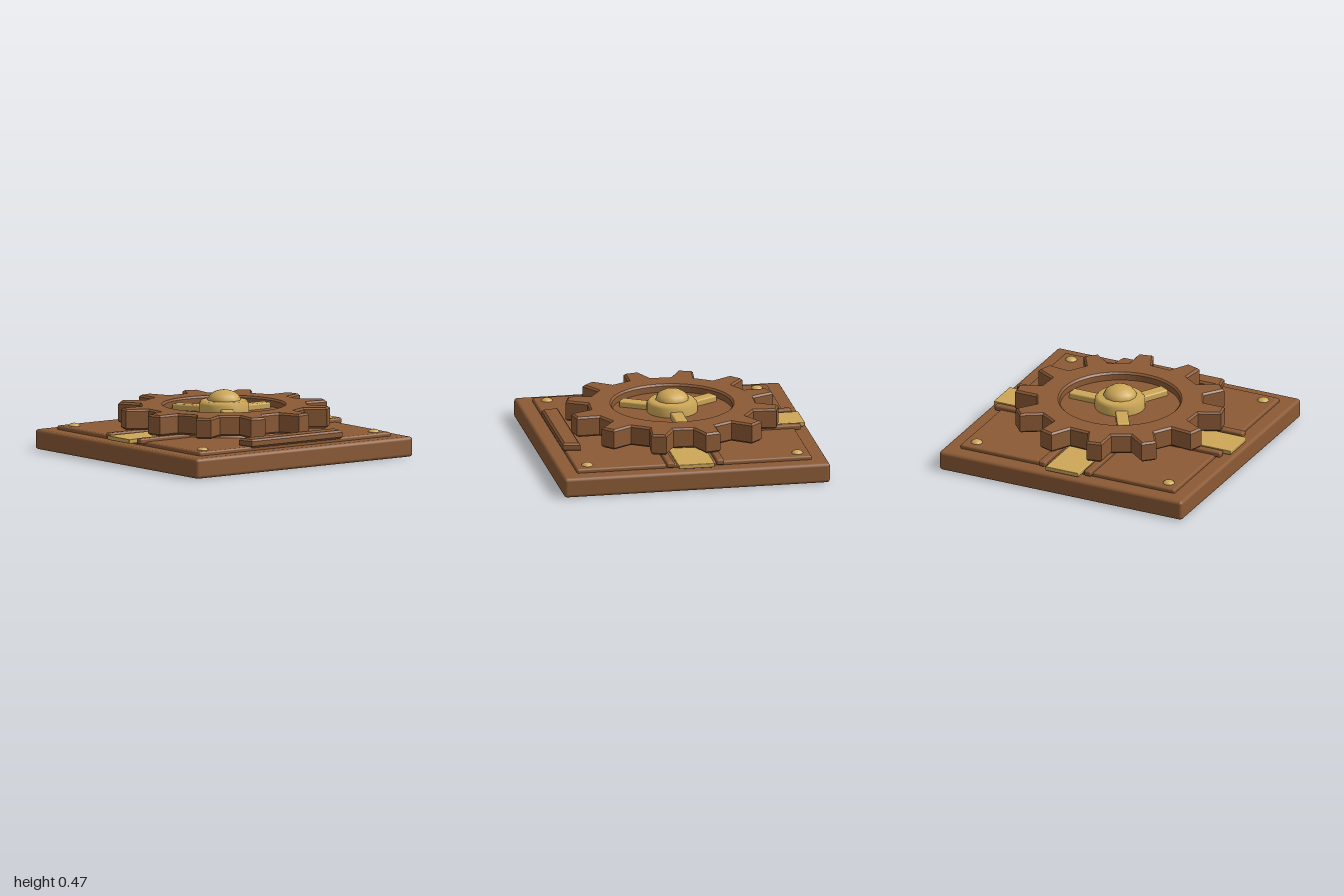
import * as THREE from 'three';
import { RoundedBoxGeometry } from 'three/addons/geometries/RoundedBoxGeometry.js';

export function createModel() {
  const wood = new THREE.MeshStandardMaterial({ name: 'brown', color: 0x8b5a35 });
  const gold = new THREE.MeshStandardMaterial({ name: 'gold', color: 0xcda757 });
  const model = new THREE.Group();
  model.name = 'gearPlate';

  function add(name, geometry, material, x = 0, y = 0, z = 0, parent = model) {
    const mesh = new THREE.Mesh(geometry, material);
    mesh.name = name;
    mesh.position.set(x, y, z);
    parent.add(mesh);
    return mesh;
  }

  // Rounded box given by its bottom and top heights
  function slab(name, material, w, d, y0, y1, r, x = 0, z = 0, parent = model) {
    return add(name, new RoundedBoxGeometry(w, y1 - y0, d, 2, r), material, x, (y0 + y1) / 2, z, parent);
  }

  // Base block and thin raised panel
  slab('base', wood, 2, 2, 0, 0.15, 0.025);
  slab('panel', wood, 1.765, 1.765, 0.14, 0.18, 0.014);

  // Corner rivets
  for (const x of [-0.79, 0.79]) for (const z of [-0.79, 0.79]) {
    const rivet = add('rivet', new THREE.SphereGeometry(0.044, 16, 6, 0, Math.PI * 2, 0, Math.PI / 2), gold, x, 0.175, z);
    rivet.scale.y = 0.6;
  }

  // Gold slides with side rails at the right, back and left
  for (const angle of [0, Math.PI / 2, Math.PI]) {
    const slide = new THREE.Group();
    slide.name = 'slide';
    slide.rotation.y = angle;
    slab('slidePlate', gold, 0.49, 0.27, 0.165, 0.197, 0.006, 0.73, 0, slide);
    for (const z of [-0.187, 0.187])
      slab('slideRail', wood, 0.46, 0.057, 0.165, 0.207, 0.012, 0.7, z, slide);
    model.add(slide);
  }

  // Front bar with clipped ends
  const bar = new THREE.Shape();
  [[-0.405, 0.885], [-0.425, 0.785], [0.425, 0.785], [0.405, 0.885]].forEach(([x, z], i) =>
    i ? bar.lineTo(x, -z) : bar.moveTo(x, -z));
  const barGeo = new THREE.ExtrudeGeometry(bar, { depth: 0.035, bevelThickness: 0.015, bevelSize: 0.015, bevelSegments: 1 });
  barGeo.rotateX(-Math.PI / 2);
  add('frontBar', barGeo, wood, 0, 0.185, 0);

  // Bearing disc below the gear
  add('bearing', new THREE.CylinderGeometry(0.49, 0.51, 0.04, 48), wood, 0, 0.185, 0);
  add('axle', new THREE.CylinderGeometry(0.2, 0.2, 0.06, 24), wood, 0, 0.22, 0);

  // Twelve-toothed gear ring
  const outline = new THREE.Shape();
  for (let i = 0; i < 12; i++) {
    [[-8.3, 0.625], [-4.2, 0.787], [4.2, 0.787], [8.3, 0.625]].forEach(([off, r], j) => {
      const a = THREE.MathUtils.degToRad(12 + i * 30 + off);
      const x = r * Math.cos(a), y = r * Math.sin(a);
      if (i + j === 0) outline.moveTo(x, y); else outline.lineTo(x, y);
    });
  }
  outline.closePath();
  const hole = new THREE.Path();
  hole.absarc(0, 0, 0.445, 0, Math.PI * 2, true);
  outline.holes.push(hole);
  const b = 0.014;
  const gearGeo = new THREE.ExtrudeGeometry(outline, {
    depth: 0.155 - 2 * b, bevelThickness: b, bevelSize: b, bevelOffset: -b, bevelSegments: 1, curveSegments: 32,
  });
  gearGeo.rotateX(-Math.PI / 2);
  add('gearRing', gearGeo, wood, 0, 0.21 + b, 0);
  add('gearFloor', new THREE.CylinderGeometry(0.452, 0.452, 0.085, 64), wood, 0, 0.2625, 0);

  // Three gold spokes
  for (let i = 0; i < 3; i++) {
    const spoke = new THREE.Group();
    spoke.name = 'spoke';
    spoke.rotation.y = i * Math.PI * 2 / 3;
    slab('spokeBar', gold, 0.3, 0.093, 0.29, 0.35, 0.012, 0.25, 0, spoke);
    model.add(spoke);
  }

  // Hub collar and domed cap
  const collar = [[0.187, 0.3], [0.187, 0.37], [0.165, 0.395], [0, 0.4]].map(p => new THREE.Vector2(...p));
  add('hubCollar', new THREE.LatheGeometry(collar, 24), gold);
  const cap = add('hubCap', new THREE.SphereGeometry(0.125, 12, 6, 0, Math.PI * 2, 0, Math.PI / 2), gold, 0, 0.39, 0);
  cap.scale.y = 0.66;

  return model;
}
